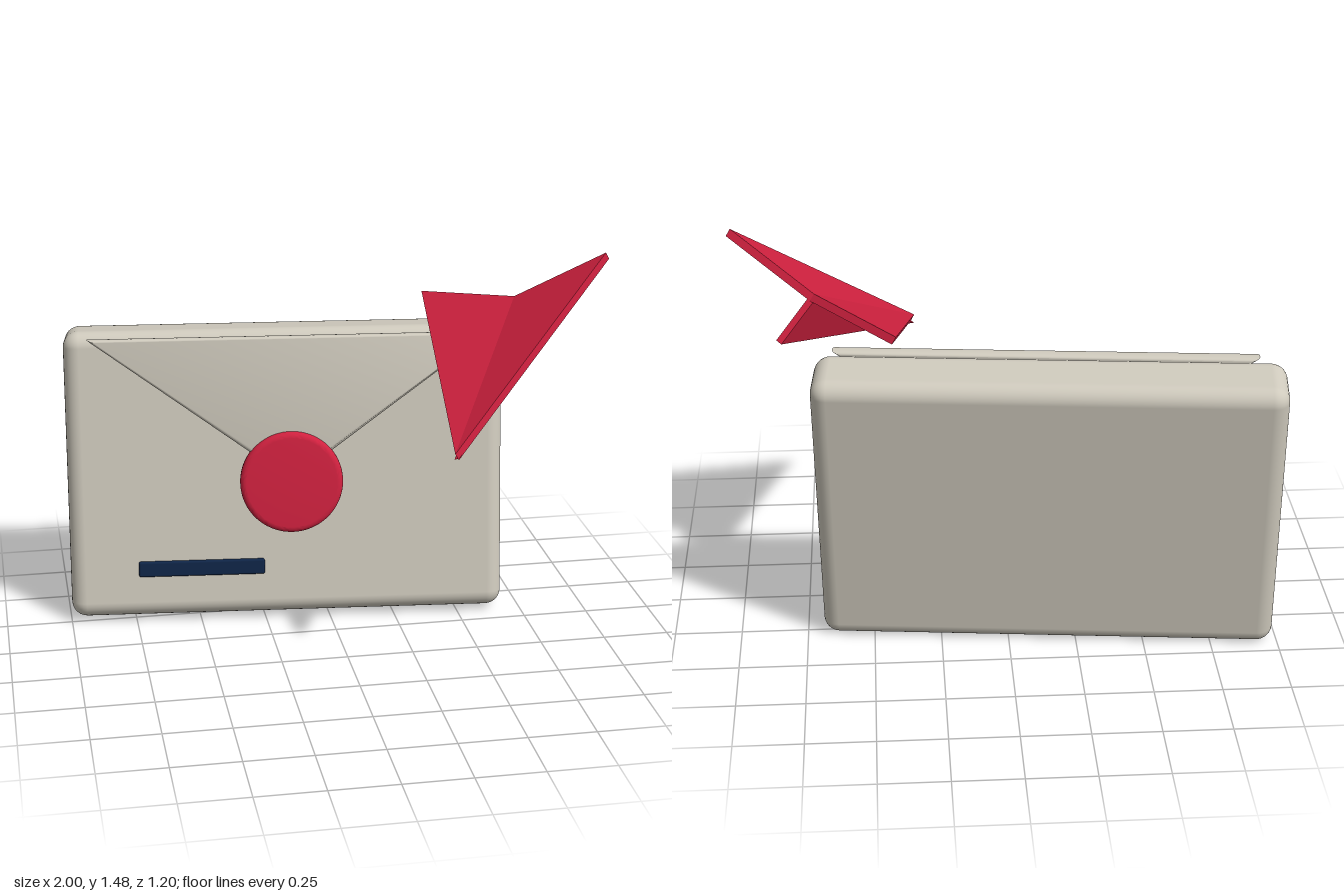
import * as THREE from 'three';
import { toCreasedNormals } from 'three/addons/utils/BufferGeometryUtils.js';
import { RoundedBoxGeometry } from 'three/addons/geometries/RoundedBoxGeometry.js';
import { ConvexGeometry } from 'three/addons/geometries/ConvexGeometry.js';

const paper = new THREE.MeshStandardMaterial({ name: 'paper', color: 0xcfcabd });
const red = new THREE.MeshStandardMaterial({ name: 'red', color: 0xd0213f });
const navy = new THREE.MeshStandardMaterial({ name: 'navy', color: 0x0f2547 });

function part(name, geometry, material, x = 0, y = 0, z = 0) {
  const mesh = new THREE.Mesh(geometry, material);
  mesh.name = name;
  mesh.position.set(x, y, z);
  return mesh;
}

// Plate with rounded edges; its back lies on z = 0 and its outline matches the shape
function roundedPlate(shape, thickness, bevel) {
  const geometry = new THREE.ExtrudeGeometry(shape, {
    depth: thickness - 2 * bevel,
    bevelThickness: bevel,
    bevelSize: bevel,
    bevelOffset: -bevel,
    bevelSegments: 4,
    curveSegments: 48,
  });
  geometry.translate(0, 0, bevel);
  return toCreasedNormals(geometry, 0.7);
}

// Triangular sheet running from each corner + from to each corner + to
function sheet(corners, from, to) {
  return new ConvexGeometry(corners.flatMap((p) => [p.clone().add(from), p.clone().add(to)]));
}

function createEnvelope() {
  const envelope = new THREE.Group();
  envelope.name = 'envelope';
  const depth = 0.25, front = depth / 2;

  envelope.add(part('body', new RoundedBoxGeometry(1.68, 1.12, depth, 4, 0.06), paper));

  // Triangular flap pointing down to the seal
  const triangle = new THREE.Shape([
    new THREE.Vector2(-0.765, 0.54),
    new THREE.Vector2(0, -0.02),
    new THREE.Vector2(0.765, 0.54),
  ]);
  envelope.add(part('flap', roundedPlate(triangle, 0.05, 0.02), paper, 0.018, 0, front + 0.01));

  // Round seal
  const disc = new THREE.Shape().absarc(0, 0, 0.197, 0, Math.PI * 2);
  envelope.add(part('seal', roundedPlate(disc, 0.06, 0.022), red, 0.018, -0.022, front + 0.022));

  // Address bar
  envelope.add(part('addressBar', new RoundedBoxGeometry(0.487, 0.06, 0.03, 2, 0.008), navy, -0.332, -0.366, front));

  // Lean back, then turn a little to the side
  envelope.rotation.set(-0.14, -0.1, 0, 'YXZ');
  envelope.position.set(-0.147, 0.562, -0.328);
  return envelope;
}

function createPaperPlane() {
  const plane = new THREE.Group();
  plane.name = 'paperPlane';
  const nose = new THREE.Vector3(0.315, 0.915, 0.603);
  const tail = new THREE.Vector3(0.685, 1.287, -0.05);
  const keelTail = new THREE.Vector3(0.816, 1.127, -0.112);
  const keelNose = new THREE.Vector3(0.326, 0.893, 0.592);
  const leftTip = new THREE.Vector3(0.984, 1.482, 0.11);
  const rightTip = new THREE.Vector3(0.395, 1.24, -0.346);

  // Wings hang their thickness below the upper faces
  const none = new THREE.Vector3();
  const down = new THREE.Vector3(0.015, -0.025, -0.006);
  plane.add(part('leftWing', sheet([nose, tail, leftTip], none, down), red));
  plane.add(part('rightWing', sheet([nose, tail, rightTip], none, down), red));

  // Keel under the centre fold
  const side = new THREE.Vector3(0.707, 0.37, 0.603).multiplyScalar(0.013);
  const tailUnder = tail.clone().add(down);
  plane.add(part('keel', sheet([keelNose, tailUnder, keelTail], side, side.clone().negate()), red));
  return plane;
}

export function createModel() {
  const model = new THREE.Group();
  model.name = 'letterAndPaperPlane';
  model.add(createEnvelope(), createPaperPlane());
  return model;
}
